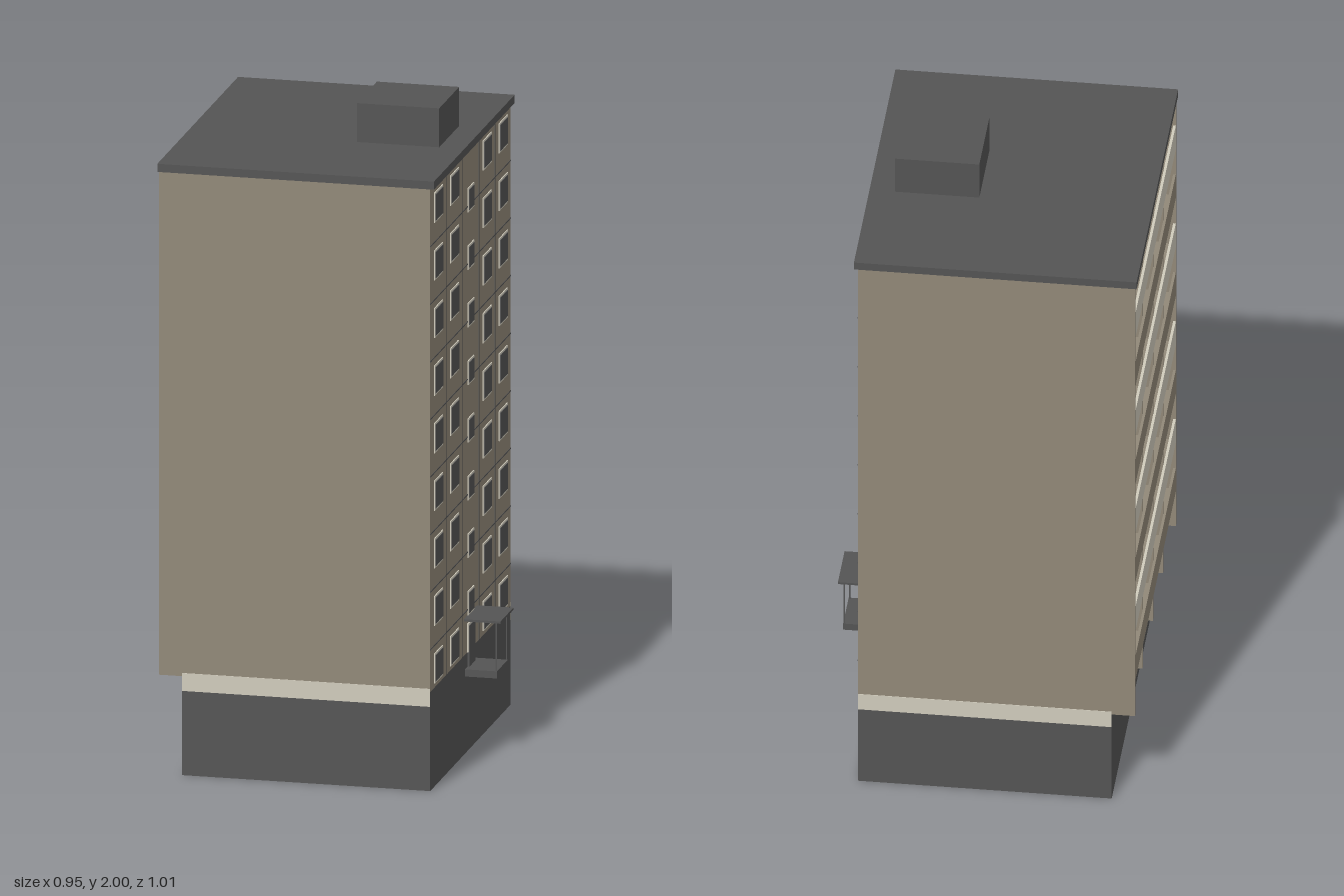
import * as THREE from 'three';

const mat = (name, color) => Object.assign(new THREE.MeshStandardMaterial({ color }), { name });

export function createModel() {
  const dark = mat('dark grey', 0x545454);
  const tan = mat('tan concrete', 0x918878);
  const light = mat('pale concrete', 0xd0cbbc);

  const model = new THREE.Group();
  model.name = 'apartmentBlock';

  // Box given by its minimum and maximum on each axis
  const box = (name, material, [x0, x1], [y0, y1], [z0, z1], parent = model) => {
    const mesh = new THREE.Mesh(new THREE.BoxGeometry(x1 - x0, y1 - y0, z1 - z0), material);
    mesh.position.set((x0 + x1) / 2, (y0 + y1) / 2, (z0 + z1) / 2);
    mesh.name = name;
    parent.add(mesh);
    return mesh;
  };
  const group = (name) => {
    const g = new THREE.Group();
    g.name = name;
    model.add(g);
    return g;
  };

  const FLOORS = 9, STEP = 0.1775, FIRST = 0.258;
  const FRONT = 0.36, BACK = -0.4, EDGE = -0.47, HALF = 0.503;
  const BASE = 0.305, TOP = 1.855;

  // Main masses
  box('base', dark, [BACK, FRONT], [0, BASE], [-HALF, HALF]);
  box('body', tan, [BACK, FRONT], [BASE, TOP], [-HALF, HALF]);
  box('roofSlab', dark, [-0.475, 0.372], [TOP, 1.88], [-0.505, 0.505]);
  box('roofHouse', dark, [0.043, 0.295], [1.88, 2], [-0.125, 0.125]);

  // Pale strip at the foot of both end walls
  for (const s of [-1, 1]) {
    const z = [s * HALF, s * (HALF + 0.0015)].sort((a, b) => a - b);
    box('plinthStrip', light, [BACK, FRONT], [0.26, 0.315], z);
  }

  // Framed window: a pale plate with a dark pane on it, facing dir along x
  const addWindow = (parent, x, y, z, w, h, dir) => {
    const plate = (name, material, depth, grow) => {
      const xs = [x, x + dir * depth].sort((a, b) => a - b);
      box(name, material, xs, [y - h / 2 - grow, y + h / 2 + grow],
        [z - w / 2 - grow, z + w / 2 + grow], parent);
    };
    plate('windowFrame', light, 0.003, 0.006);
    plate('windowPane', dark, 0.005, 0);
  };

  // Entrance facade: four window columns and a staircase column
  const facade = group('entranceFacade');
  for (let i = 0; i < FLOORS; i++) {
    const y = 0.365 + i * STEP;
    for (const z of [-0.405, -0.205, 0.205, 0.405]) addWindow(facade, FRONT, y, z, 0.092, 0.08, 1);
    if (i < FLOORS - 1) addWindow(facade, FRONT, y + 0.09, 0, 0.062, 0.062, 1);
  }

  // Panel seams
  for (let i = 1; i < FLOORS; i++) {
    const y = FIRST + i * STEP;
    box('floorSeam', dark, [FRONT, FRONT + 0.001], [y - 0.002, y + 0.002], [-HALF, HALF], facade);
  }
  for (const z of [-0.305, -0.105, 0.105, 0.305]) {
    box('wallSeam', dark, [FRONT, FRONT + 0.001], [BASE, TOP], [z - 0.002, z + 0.002], facade);
  }

  // Entrance: door, landing, canopy and posts
  const entrance = group('entrance');
  box('doorFrame', light, [FRONT, FRONT + 0.004], [BASE, 0.393], [-0.043, 0.043], entrance);
  box('door', dark, [FRONT, FRONT + 0.006], [0.26, 0.386], [-0.036, 0.036], entrance);
  box('landing', dark, [FRONT, 0.458], [0.238, 0.26], [-0.068, 0.068], entrance);
  box('canopy', dark, [FRONT, 0.472], [0.411, 0.418], [-0.081, 0.081], entrance);
  for (const s of [-1, 1]) {
    const z = s * 0.064;
    box('post', dark, [0.453, 0.457], [0.26, 0.411], [z - 0.002, z + 0.002], entrance);
  }

  // Balcony side: walls, floors, parapets and windows
  const balconies = group('balconies');
  for (const s of [-1, 1]) {
    const z = [s * HALF, s * (HALF - 0.012)].sort((a, b) => a - b);
    box('endWall', tan, [EDGE, BACK], [BASE, TOP], z, balconies);
  }
  for (const z of [-0.25, 0, 0.25]) {
    box('divider', tan, [EDGE + 0.008, BACK], [BASE, TOP], [z - 0.006, z + 0.006], balconies);
  }
  const span = [-HALF + 0.012, HALF - 0.012];
  for (let i = 0; i < FLOORS; i++) {
    const y = FIRST + i * STEP;
    if (i > 0) {
      box('balconyFloor', tan, [EDGE + 0.008, BACK], [y - 0.006, y + 0.006], span, balconies);
      box('parapet', i % 2 ? tan : light, [EDGE, EDGE + 0.008], [y - 0.006, y + 0.08], span, balconies);
    }
    for (const z of [-0.375, -0.125, 0.125, 0.375]) {
      addWindow(balconies, BACK, y + 0.107, z, 0.1, 0.085, -1);
    }
  }

  return model;
}
